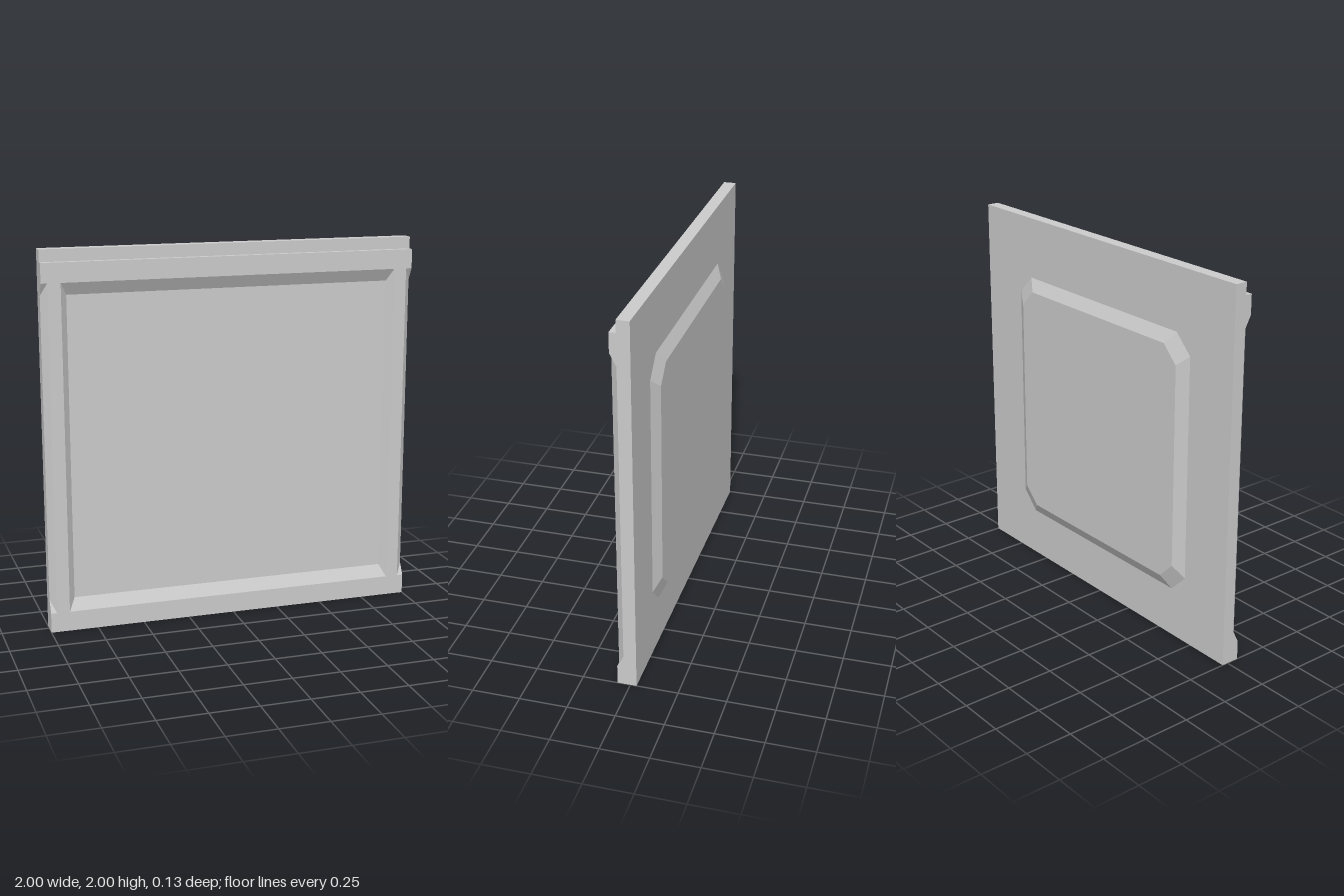
import * as THREE from 'three';

const material = new THREE.MeshStandardMaterial({ color: 0xcccccc, flatShading: true });
const BACK = -0.033, FLOOR = 0.033, FRONT = 0.067;

function extrude(points, depth) {
  const shape = new THREE.Shape(points.map(([x, y]) => new THREE.Vector2(x, y)));
  return new THREE.ExtrudeGeometry(shape, { depth, bevelEnabled: false });
}

export function createModel() {
  const group = new THREE.Group();
  const add = (name, geometry) => {
    const mesh = new THREE.Mesh(geometry, material);
    mesh.name = name;
    group.add(mesh);
  };

  // Flat slab; its top edge shows as a lip above the top rail
  add('slab', new THREE.BoxGeometry(2, 2, FLOOR - BACK).translate(0, 1, (FLOOR + BACK) / 2));

  // Full-width rails with a sloped inner side; profile points are [z, y]
  const rail = (name, profile) =>
    add(name, extrude(profile.map(([z, y]) => [-z, y]), 2).rotateY(Math.PI / 2).translate(-1, 0, 0));
  rail('bottomRail', [[FLOOR, 0], [FRONT, 0], [FRONT, 0.105], [FLOOR, 0.17]]);
  rail('topRail', [[FLOOR, 1.937], [FRONT, 1.937], [FRONT, 1.835], [FLOOR, 1.77]]);

  // Side posts, sloped on both sides, with ends sunk into the rails
  for (const [name, s] of [['leftPost', 1], ['rightPost', -1]]) {
    const profile = [[0.867, FLOOR], [0.9, FRONT], [0.968, FRONT], [1, FLOOR]];
    add(name, extrude(profile.map(([x, z]) => [s * x, -z]), 1.83)
      .rotateX(-Math.PI / 2).translate(0, 0.055, 0));
  }

  // Raised back panel: an octagon that tapers towards its outer face
  const a = 0.7, b = 0.6, height = 0.034, taper = 0.907;
  const panel = extrude([[a, -b], [a, b], [b, a], [-b, a], [-a, b], [-a, -b], [-b, -a], [b, -a]], height);
  const p = panel.attributes.position;
  for (let i = 0; i < p.count; i++) {
    if (p.getZ(i) > height / 2) p.setXY(i, p.getX(i) * taper, p.getY(i) * taper);
  }
  panel.computeVertexNormals();
  add('backPanel', panel.rotateY(Math.PI).translate(0, 0.97, BACK));

  return group;
}
